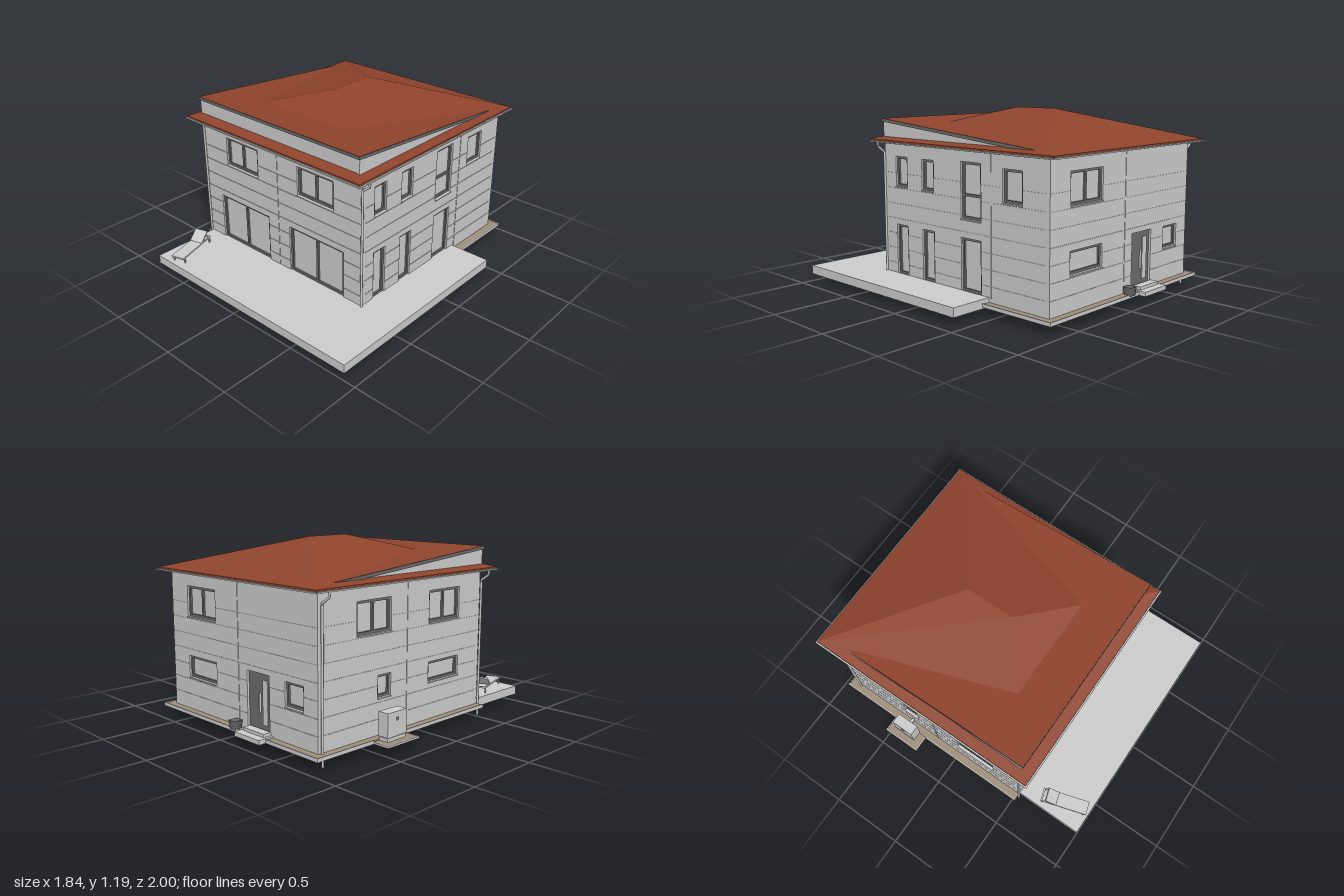
import * as THREE from 'three';

const mat = (name, hex) => {
  const m = new THREE.MeshStandardMaterial({ color: hex });
  m.name = name;
  return m;
};

export function createModel() {
  const house = new THREE.Group();
  house.name = 'house';
  const light = mat('lightGrey', 0xcacaca);
  const dark = mat('darkGrey', 0x6a6a6a);
  const tile = mat('roofTile', 0x8e432c);
  const gravel = mat('gravel', 0x9d8e78);

  const add = (parent, name, geo, m) => {
    const mesh = new THREE.Mesh(geo, m);
    mesh.name = name;
    parent.add(mesh);
    return mesh;
  };
  // Box given by its lower and upper limits on each axis
  const box = (parent, name, m, x0, x1, y0, y1, z0, z1) => {
    const mesh = add(parent, name, new THREE.BoxGeometry(x1 - x0, y1 - y0, z1 - z0), m);
    mesh.position.set((x0 + x1) / 2, (y0 + y1) / 2, (z0 + z1) / 2);
    return mesh;
  };
  // Side profile of [z, y] points, extruded from x0 to x1
  const prism = (name, m, points, x0, x1) => {
    const shape = new THREE.Shape(points.map(([z, y]) => new THREE.Vector2(-z, y)));
    const geo = new THREE.ExtrudeGeometry(shape, { depth: x1 - x0, bevelEnabled: false });
    geo.rotateY(Math.PI / 2).translate(x0, 0, 0);
    return add(house, name, geo, m);
  };
  const outline = (a, b, y0, y1) => [[a, y0], [b, y0], [b, y1], [a, y1]].map(p => new THREE.Vector2(...p));

  const X0 = -0.755, X1 = 0.635, Z0 = -0.895, Z1 = 0.525;
  const BASE = 0.075, TOP = 0.97, DEPTH = 0.03, GAP = 0.005, CLAD = 0.003;
  box(house, 'core', light, X0 + DEPTH, X1 - DEPTH, 0.1, TOP, Z0 + DEPTH, Z1 - DEPTH);

  // Framed window set back in its opening; mullion and transom are optional
  const addWindow = (wall, w) => {
    const [a, b, y0, y1] = w.rect, t = 0.016, back = -DEPTH, front = -0.012;
    const g = new THREE.Group();
    g.name = 'window';
    wall.add(g);
    box(g, 'glass', light, a, b, y0, y1, back, -0.024);
    for (const x of [a, b - t]) box(g, 'frameSide', dark, x, x + t, y0, y1, back, front);
    for (const y of [y0, y1 - t]) box(g, 'frameRail', dark, a + t, b - t, y, y + t, back, front);
    const mid = (a + b) / 2;
    if (w.mullion) box(g, 'mullion', dark, mid - t / 2, mid + t / 2, y0 + t, y1 - t, back, front);
    if (w.transom) box(g, 'transom', dark, a + t, b - t, w.transom - t / 2, w.transom + t / 2, back, front);
    if (y0 > 0.2) box(g, 'sill', light, a, b, y0 - 0.008, y0, front, 0.008);
  };

  // Wall with shallow-jointed cladding: u runs right as seen from outside, +z points outwards
  const addWall = (name, u0, u1, seam, openings, angle, position) => {
    const wall = new THREE.Group();
    wall.name = name;
    wall.rotation.y = angle;
    wall.position.set(...position);
    house.add(wall);
    const shape = new THREE.Shape(outline(u0, u1, BASE, TOP));
    shape.holes = openings.map(o => new THREE.Path(outline(...o.rect)));
    const backing = new THREE.ExtrudeGeometry(shape, { depth: DEPTH - CLAD, bevelEnabled: false });
    add(wall, 'wallBacking', backing.translate(0, 0, -DEPTH), light);

    // Cladding strips, cut at every joint and at the heads and sills of openings
    const rows = 9, step = (TOP - BASE) / rows;
    const joints = Array.from({ length: rows }, (_, i) => BASE + i * step);
    const cuts = [...joints, TOP, ...openings.flatMap(o => [o.rect[2], o.rect[3]])].sort((p, q) => p - q);
    for (let i = 0; i + 1 < cuts.length; i++) {
      const y0 = cuts[i], y1 = cuts[i + 1];
      if (y1 - y0 < 0.0005) continue;
      const mid = (y0 + y1) / 2;
      const gap = i > 0 && joints.includes(y0) && y1 - y0 > GAP * 2 ? GAP : 0;
      const blocks = openings.filter(o => o.rect[2] < mid && o.rect[3] > mid).map(o => [o.rect[0], o.rect[1]]);
      if (!blocks.some(([a, b]) => a < seam && b > seam)) blocks.push([seam - GAP / 2, seam + GAP / 2]);
      blocks.sort((p, q) => p[0] - q[0]);
      let u = u0;
      for (const [a, b] of [...blocks, [u1, u1]]) {
        if (a - u > 0.001) box(wall, 'cladding', light, u, a, y0 + gap, y1, -CLAD, 0);
        u = Math.max(u, b);
      }
    }
    openings.filter(o => !o.door).forEach(o => addWindow(wall, o));
    return wall;
  };
  const win = (a, b, y0, y1, extra = {}) => ({ rect: [a, b, y0, y1], ...extra });
  const two = { mullion: true };

  addWall('frontWall', X0, X1, -0.065, [
    win(-0.54, -0.245, 0.685, 0.88, two), win(0.11, 0.41, 0.685, 0.88, two),
    win(-0.62, -0.16, 0.105, 0.43, two), win(0.03, 0.49, 0.105, 0.43, two),
  ], 0, [0, 0, Z1]);
  addWall('rightWall', -Z1 + DEPTH, -Z0 - DEPTH, 0.45, [
    win(-0.415, -0.305, 0.685, 0.88), win(-0.16, -0.05, 0.685, 0.88),
    win(0.195, 0.365, 0.55, 0.895, { transom: 0.695 }), win(0.54, 0.695, 0.685, 0.88),
    win(-0.415, -0.305, 0.105, 0.435), win(-0.16, -0.05, 0.105, 0.435), win(0.195, 0.365, 0.105, 0.435),
  ], Math.PI / 2, [X1, 0, 0]);
  addWall('leftWall', Z0 + DEPTH, Z1 - DEPTH, -0.18, [
    win(-0.6, -0.32, 0.685, 0.88, two), win(0.02, 0.31, 0.685, 0.88, two),
    win(-0.43, -0.32, 0.3, 0.435), win(0.02, 0.31, 0.315, 0.44),
  ], -Math.PI / 2, [X0, 0, 0]);
  const backWall = addWall('backWall', -X1, -X0, 0.06, [
    win(-0.46, -0.165, 0.685, 0.88, two), win(-0.46, -0.165, 0.29, 0.43),
    win(0.485, 0.64, 0.29, 0.435), win(0.14, 0.345, 0.09, 0.44, { door: true }),
  ], Math.PI, [0, 0, Z0]);

  // Entrance door with a glazed strip and a handle
  box(backWall, 'door', dark, 0.14, 0.345, 0.09, 0.44, -DEPTH, -0.015);
  box(backWall, 'doorGlass', light, 0.27, 0.315, 0.13, 0.4, -0.016, -0.01);
  box(backWall, 'doorHandle', light, 0.245, 0.253, 0.2, 0.32, -0.015, 0);

  // Hipped main roof with a closed underside
  const E = [-0.818, 0.687, -0.96, 0.612], eave = 0.985, ridge = 1.188;
  const fl = [E[0], eave, E[3]], fr = [E[1], eave, E[3]];
  const br = [E[1], eave, E[2]], bl = [E[0], eave, E[2]];
  const rf = [-0.062, ridge, -0.01], rb = [-0.062, ridge, -0.335];
  const hip = new THREE.BufferGeometry();
  const faces = [fl, fr, rf, br, bl, rb, fr, br, rb, fr, rb, rf, bl, fl, rf, bl, rf, rb, fl, bl, br, fl, br, fr];
  hip.setAttribute('position', new THREE.Float32BufferAttribute(faces.flat(), 3));
  hip.computeVertexNormals();
  add(house, 'hipRoof', hip, tile);
  box(house, 'roofEdge', tile, E[0], E[1], 0.976, eave, E[2], E[3]);
  box(house, 'soffit', dark, E[0], E[1], 0.964, 0.976, E[2], E[3]);

  // Gutters round the eaves
  const gw = 0.01;
  for (const x of [E[0] - gw, E[1]]) box(house, 'gutterSide', light, x, x + gw, 0.966, 0.974, E[2] - gw, E[3] + gw);
  for (const z of [E[2] - gw, E[3]]) box(house, 'gutterEnd', light, E[0], E[1], 0.966, 0.974, z, z + gw);

  // Low-pitched raised roof: cheeks, dark slab and tiled covering
  prism('raisedRoofWalls', light, [[0.545, 0.98], [0.545, 1.1], [-0.77, 0.985], [-0.77, 0.98]], -0.752, 0.628);
  prism('raisedRoofSlab', dark, [[0.555, 1.098], [0.555, 1.117], [-0.77, 1.001], [-0.77, 0.982]], -0.76, 0.635);
  prism('raisedRoofTiles', tile, [[0.552, 1.115], [0.552, 1.1185], [-0.77, 1.0028], [-0.77, 0.999]], -0.757, 0.632);

  // Downpipes with swan necks leading to the gutters
  for (const [x, z, out] of [[-0.764, 0.528, -0.82], [0.638, 0.528, 0.69], [-0.764, -0.87, -0.82]]) {
    const path = new THREE.CurvePath();
    const pts = [[x, 0], [x, 0.9], [out, 0.94], [out, 0.972]].map(([a, b]) => new THREE.Vector3(a, b, z));
    for (let i = 0; i < 3; i++) path.add(new THREE.LineCurve3(pts[i], pts[i + 1]));
    add(house, 'downpipe', new THREE.TubeGeometry(path, 60, 0.008, 8), light);
  }

  // L-shaped terrace
  box(house, 'terraceFront', light, -0.75, 0.92, 0.05, 0.108, Z1, 0.998);
  box(house, 'terraceSide', light, X1, 0.92, 0.05, 0.108, -0.43, Z1);

  // Gravel border and its kerbs
  box(house, 'gravelBack', gravel, X0 - 0.05, X1 + 0.05, 0.062, 0.078, Z0 - 0.05, Z0);
  box(house, 'gravelLeft', gravel, X0 - 0.05, X0, 0.062, 0.078, Z0, Z1);
  box(house, 'gravelRight', gravel, X1, X1 + 0.05, 0.062, 0.078, Z0, -0.43);
  box(house, 'gravelPad', gravel, -0.915, X0 - 0.05, 0.062, 0.07, -0.513, -0.257);
  box(house, 'kerbRight', light, X1 + 0.05, X1 + 0.057, 0.06, 0.083, Z0 - 0.057, -0.43);
  box(house, 'kerbBack', light, X0 - 0.057, X1 + 0.05, 0.06, 0.083, Z0 - 0.057, Z0 - 0.05);
  box(house, 'kerbLeftRear', light, X0 - 0.057, X0 - 0.05, 0.06, 0.083, Z0 - 0.05, -0.52);
  box(house, 'kerbLeftFront', light, X0 - 0.057, X0 - 0.05, 0.06, 0.083, -0.25, Z1);
  box(house, 'padKerb', light, -0.922, -0.915, 0.06, 0.072, -0.52, -0.25);
  for (const z of [-0.52, -0.257]) box(house, 'padKerbEnd', light, -0.915, X0 - 0.05, 0.06, 0.072, z, z + 0.007);

  // Entrance steps
  box(house, 'lowerStep', light, -0.375, -0.145, 0.06, 0.088, -1, Z0);
  box(house, 'upperStep', light, -0.355, -0.165, 0.088, 0.108, -0.95, Z0);

  // Planter beside the door
  const pot = add(house, 'planter', new THREE.CylinderGeometry(0.042, 0.034, 0.055, 4), dark);
  pot.rotation.y = Math.PI / 4;
  pot.position.set(-0.07, 0.1, -0.935);

  // Outdoor utility unit
  box(house, 'utilityPlinth', light, -0.868, -0.8, 0.06, 0.092, -0.465, -0.31);
  box(house, 'utilityCabinet', light, -0.87, -0.798, 0.095, 0.24, -0.467, -0.308);
  box(house, 'utilityPanel', dark, -0.872, -0.87, 0.185, 0.205, -0.4, -0.375);
  box(house, 'utilityPipe', light, -0.8, X0, 0.12, 0.135, -0.4, -0.38);

  // Sun lounger on the terrace
  const lounger = new THREE.Group();
  lounger.name = 'sunLounger';
  lounger.position.set(-0.628, 0.108, 0.817);
  lounger.rotation.y = 0.3;
  house.add(lounger);
  box(lounger, 'seat', light, -0.046, 0.046, 0.034, 0.045, -0.055, 0.162);
  for (const s of [-1, 1]) {
    box(lounger, 'rail', light, s * 0.042 - 0.004, s * 0.042 + 0.004, 0.034, 0.045, -0.162, -0.055);
    for (const z of [-0.15, 0.14]) {
      box(lounger, 'leg', light, s * 0.042 - 0.004, s * 0.042 + 0.004, 0, 0.034, z - 0.004, z + 0.004);
    }
  }
  box(lounger, 'headRail', light, -0.038, 0.038, 0.034, 0.045, -0.162, -0.15);
  const rest = add(lounger, 'backrest', new THREE.BoxGeometry(0.092, 0.01, 0.092), light);
  rest.position.set(0, 0.07, -0.092);
  rest.rotation.x = 0.65;

  return house;
}
